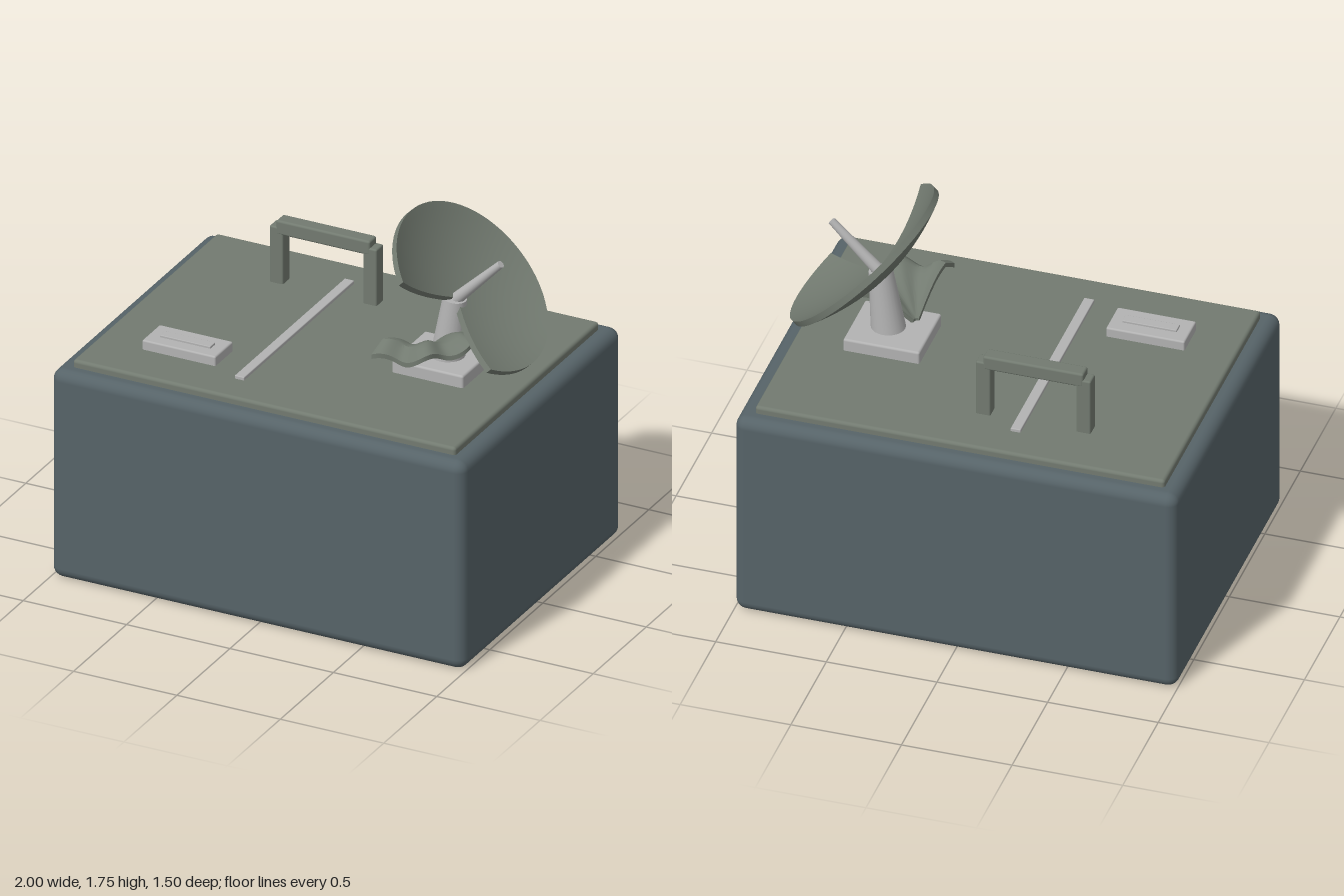
import * as THREE from 'three';
import { toCreasedNormals } from 'three/addons/utils/BufferGeometryUtils.js';
import { RoundedBoxGeometry } from 'three/addons/geometries/RoundedBoxGeometry.js';

const material = (name, color) => {
  const m = new THREE.MeshStandardMaterial({ color });
  m.name = name;
  return m;
};

// Closed thick sheet: surface(t, s) gives the top, which is dropped by thickness for the underside
function thickSheet(surface, rows, cols, thickness) {
  const positions = [];
  const index = [];
  const count = (rows + 1) * (cols + 1);
  for (const drop of [0, thickness]) {
    for (let i = 0; i <= rows; i++) {
      for (let j = 0; j <= cols; j++) {
        const p = surface(i / rows, j / cols);
        positions.push(p.x, p.y - drop, p.z);
      }
    }
  }
  const id = (i, j) => i * (cols + 1) + j;
  const quad = (a, b, c, d) => index.push(a, b, c, a, c, d);
  for (let i = 0; i < rows; i++) {
    for (let j = 0; j < cols; j++) {
      const q = [id(i, j), id(i + 1, j), id(i + 1, j + 1), id(i, j + 1)];
      quad(...q);
      quad(...q.reverse().map((k) => k + count));
    }
  }
  const wall = (a, b) => quad(a, a + count, b + count, b);
  for (let i = 0; i < rows; i++) {
    wall(id(i, 0), id(i + 1, 0));
    wall(id(i + 1, cols), id(i, cols));
  }
  for (let j = 0; j < cols; j++) {
    wall(id(rows, j), id(rows, j + 1));
    wall(id(0, j + 1), id(0, j));
  }
  const g = new THREE.BufferGeometry();
  g.setAttribute('position', new THREE.Float32BufferAttribute(positions, 3));
  g.setIndex(index);
  return toCreasedNormals(g, 0.7);
}

export function createModel() {
  const model = new THREE.Group();
  const slate = material('slate casing', 0x566368);
  const olive = material('olive grey', 0x727a70);
  const light = material('light grey metal', 0xb2b2b2);

  const add = (name, geometry, mat, parent = model) => {
    const mesh = new THREE.Mesh(geometry, mat);
    mesh.name = name;
    parent.add(mesh);
    return mesh;
  };
  // Rounded box given by its extents on each axis
  const box = (name, mat, [x0, x1], [y0, y1], [z0, z1], radius) =>
    add(name, new RoundedBoxGeometry(x1 - x0, y1 - y0, z1 - z0, 3, radius), mat)
      .position.set((x0 + x1) / 2, (y0 + y1) / 2, (z0 + z1) / 2);
  // Tapered rod between two points
  const rod = (name, mat, from, to, r0, r1) => {
    const a = new THREE.Vector3(...from);
    const dir = new THREE.Vector3(...to).sub(a);
    const mesh = add(name, new THREE.CylinderGeometry(r1, r0, dir.length(), 24), mat);
    mesh.position.copy(a).addScaledVector(dir, 0.5);
    mesh.quaternion.setFromUnitVectors(new THREE.Vector3(0, 1, 0), dir.normalize());
  };

  // Casing and lid
  box('casing', slate, [-1, 1], [0, 1], [-0.75, 0.75], 0.05);
  box('lidPanel', olive, [-0.925, 0.925], [0.985, 1.035], [-0.68, 0.68], 0.015);

  // Seam strip and latch
  box('seamStrip', light, [-0.224, -0.178], [1.02, 1.05], [-0.52, 0.52], 0.004);
  box('latchBase', light, [-0.705, -0.35], [1.02, 1.08], [0.288, 0.455], 0.008);
  box('latchPlate', light, [-0.65, -0.405], [1.07, 1.09], [0.348, 0.396], 0.003);

  // Carry handle
  for (const x of [-0.48, -0.027]) {
    box('handlePost', olive, [x - 0.033, x + 0.033], [1.02, 1.305], [-0.437, -0.37], 0.008);
  }
  box('handleBar', olive, [-0.48, -0.027], [1.27, 1.338], [-0.438, -0.369], 0.01);

  // Dish mount
  box('mountBase', light, [0.35, 0.695], [1.02, 1.093], [-0.158, 0.158], 0.01);
  rod('mountPillar', light, [0.54, 1.08, 0], [0.575, 1.375, 0], 0.077, 0.053);

  // Dish with a sector missing, tilted towards +x
  const rad = THREE.MathUtils.degToRad;
  const dish = add('dish', thickSheet((t, s) => {
    const r = 0.005 + 0.415 * t;
    const a = rad(50 + 280 * s);
    return new THREE.Vector3(r * Math.sin(a), 0.1 * (r / 0.42) ** 2, r * Math.cos(a));
  }, 12, 64, 0.03), olive);
  dish.position.set(0.589, 1.379, 0);
  dish.rotation.z = -Math.PI / 4;
  rod('feedHorn', light, [0.582, 1.372, 0], [0.797, 1.587, 0], 0.028, 0.017);

  // Torn dish sector, crumpled against the mount
  add('tornPanel', thickSheet((t, s) => {
    const a = rad(-13 + 126 * s);
    const ripple = Math.sin(s * Math.PI * 6 + 0.6);
    const r = 0.015 + t * (0.28 + 0.02 * Math.cos(s * Math.PI * 6));
    const lift = 0.15 * Math.sin(Math.min(t * 1.25, 1) * Math.PI / 2) - 0.05 * Math.max(0, t - 0.75) * 4 * (1 - s);
    return new THREE.Vector3(
      0.43 + r * Math.sin(a),
      1.105 + lift + 0.02 * t * ripple,
      0.06 + r * Math.cos(a)
    );
  }, 12, 48, 0.022), olive);

  return model;
}
